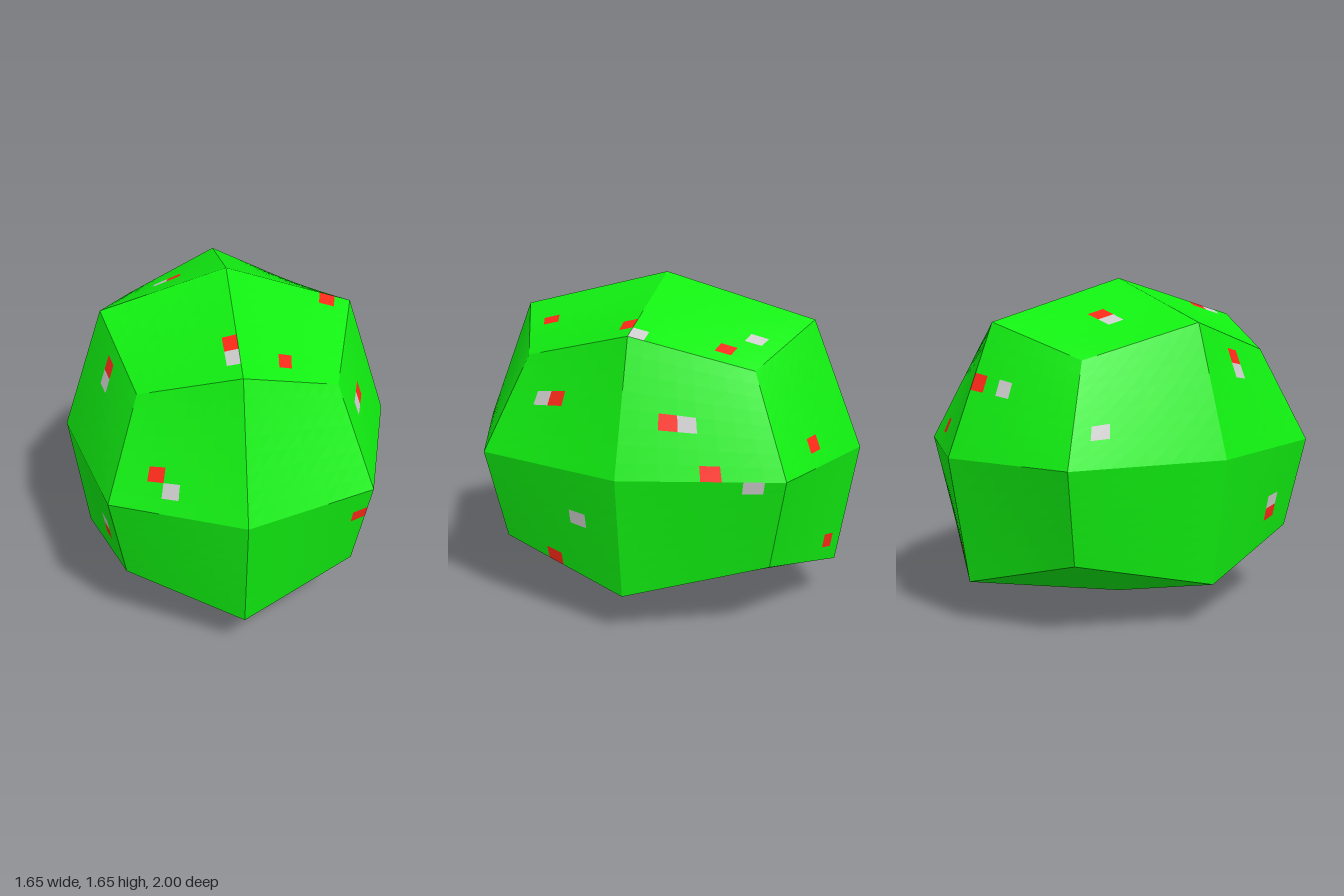
import * as THREE from 'three';

const N = 8; // cells per quarter of a side

// Coloured cells, as [first, second] cell numbers from the side's middle:
// sides use (z, y), top uses (x, z), front and back use (x, y).
const SPOTS = {
  red: {
    left: [[4, 4], [-3, 3], [-5, 0], [4, -8]],
    right: [[3, 6], [5, -6]],
    top: [[6, -6], [-4, -4], [6, 0], [-1, 5], [3, 6]],
    front: [[-6, 2], [7, -3]],
    back: [[-1, 4], [4, 1], [1, -7]],
  },
  grey: {
    left: [[5, 4], [-4, 3], [-7, -1], [2, -4]],
    right: [[3, 5], [5, -5], [-7, 2]],
    top: [[4, -7], [-5, -4], [7, -1], [-1, 6]],
    front: [[-5, 1]],
    back: [[-3, 4]],
  },
};
const COLORS = { green: 0x11ee11, red: 0xff2a18, grey: 0xcccccc };
const SIDES = ['left', 'right', 'top', 'bottom', 'front', 'back']; // order of box sides

// Spread and height of the control net: [pole, edge, corner] for each level
const SPREAD = { '-1': [0, 0.9, 0.67], 0: [0, 1, 0.75], 1: [0, 0.75, 0.56] };
const HEIGHT = { '-1': [0, 0.21, 0.37], 0: [0.825, 0.825, 0.825], 1: [1.65, 1.45, 1.29] };

function controlPoint(i, j, k) {
  const n = Math.abs(i) + Math.abs(k);
  const r = SPREAD[j][n];
  return new THREE.Vector3(i * r * 0.825, HEIGHT[j][n], k * r);
}

// Straight blending between the control points of one octant
function facet(p) {
  const out = new THREE.Vector3();
  for (let c = 0; c < 8; c++) {
    let weight = 1;
    const id = ['x', 'y', 'z'].map((axis, bit) => {
      const a = Math.abs(p[axis]);
      const on = (c >> bit) & 1;
      weight *= on ? a : 1 - a;
      return on ? (p[axis] < 0 ? -1 : 1) : 0;
    });
    if (weight > 0) out.addScaledVector(controlPoint(...id), weight);
  }
  return out;
}

function cellColor(side, center) {
  const [a, b] = side === 'left' || side === 'right' ? [center.z, center.y]
    : side === 'top' || side === 'bottom' ? [center.x, center.z]
      : [center.x, center.y];
  const i = Math.floor(a * N), j = Math.floor(b * N);
  for (const color of ['red', 'grey']) {
    if ((SPOTS[color][side] || []).some(([u, v]) => u === i && v === j)) return color;
  }
  return 'green';
}

export function createModel() {
  const group = new THREE.Group();
  group.name = 'facetedBall';

  // Gridded cube, its cells sorted by colour and pushed out to the facets
  const box = new THREE.BoxGeometry(2, 2, 2, 2 * N, 2 * N, 2 * N).toNonIndexed();
  const pos = box.attributes.position;
  const perSide = pos.count / 6;
  const corners = { green: [], red: [], grey: [] };
  for (let start = 0; start < pos.count; start += 6) {
    const cell = [];
    const bounds = new THREE.Box3();
    for (let v = 0; v < 6; v++) {
      const p = new THREE.Vector3().fromBufferAttribute(pos, start + v);
      cell.push(p);
      bounds.expandByPoint(p);
    }
    const side = SIDES[Math.floor(start / perSide)];
    const color = cellColor(side, bounds.getCenter(new THREE.Vector3()));
    corners[color].push(...cell.map(facet));
  }

  // One mesh for each colour
  const names = { green: 'body', red: 'redSpots', grey: 'greySpots' };
  for (const color of Object.keys(names)) {
    const geometry = new THREE.BufferGeometry().setFromPoints(corners[color]);
    geometry.computeVertexNormals();
    const mesh = new THREE.Mesh(geometry, new THREE.MeshStandardMaterial({ color: COLORS[color] }));
    mesh.name = names[color];
    group.add(mesh);
  }
  return group;
}
